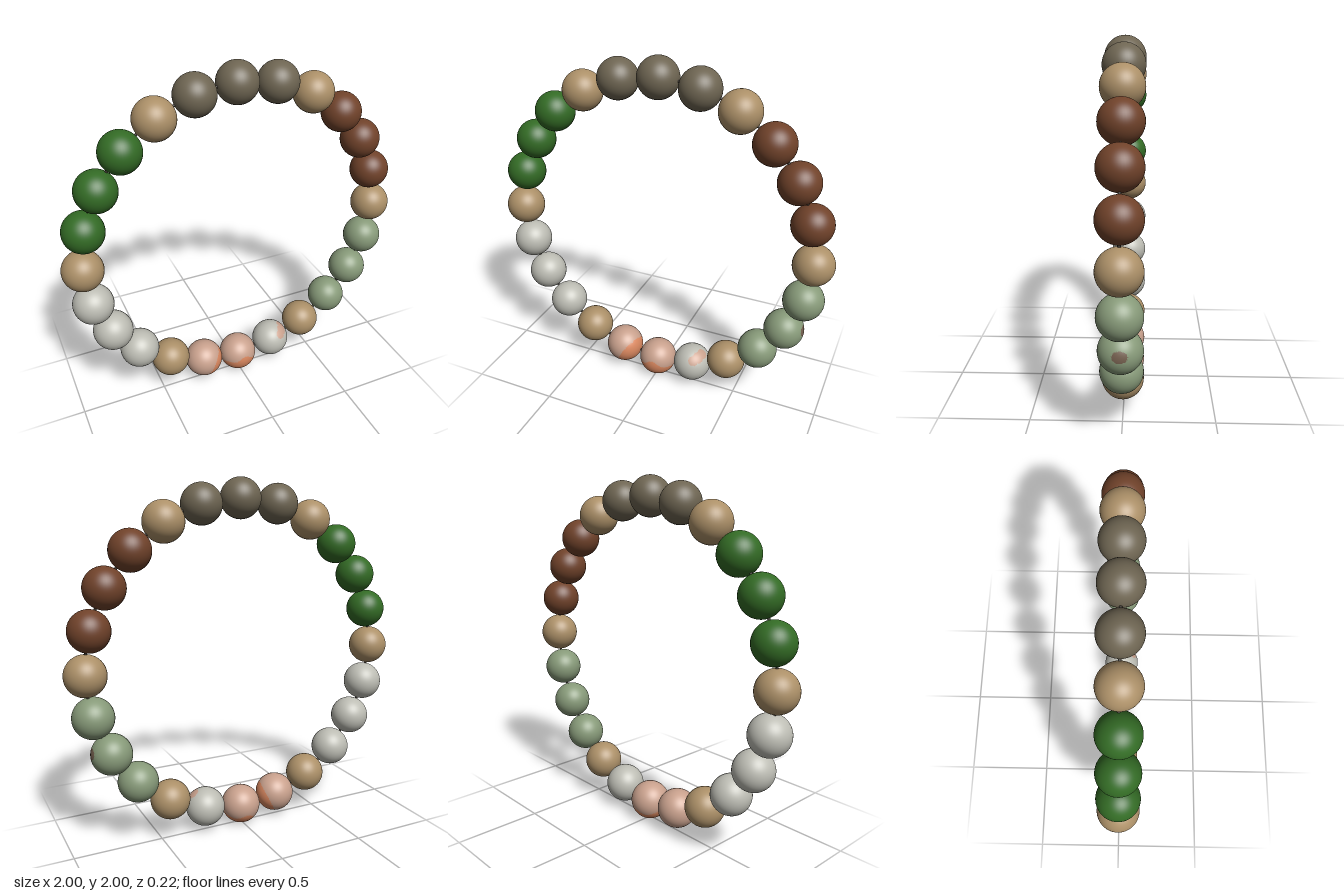
import * as THREE from 'three';

const RING = 0.8875, BEAD = 0.1125, COUNT = 24;

function paint(name, color) {
  const m = new THREE.MeshStandardMaterial({ color });
  m.name = name;
  return m;
}

// Sphere whose triangles are split in two groups: base, and patch where the rule holds
function patchedSphere(rule) {
  const g = new THREE.SphereGeometry(BEAD, 96, 64);
  const p = g.attributes.position, idx = g.index.array;
  const base = [], patch = [], n = new THREE.Vector3(), v = new THREE.Vector3();
  for (let i = 0; i < idx.length; i += 3) {
    n.set(0, 0, 0);
    for (let k = 0; k < 3; k++) n.add(v.fromBufferAttribute(p, idx[i + k]));
    n.normalize();
    (rule(n) ? patch : base).push(idx[i], idx[i + 1], idx[i + 2]);
  }
  g.setIndex(base.concat(patch));
  g.clearGroups();
  g.addGroup(0, base.length, 0);
  g.addGroup(base.length, patch.length, 1);
  return g;
}

// Round patch test around a direction
function cap(x, y, z, limit) {
  const d = new THREE.Vector3(x, y, z).normalize();
  return n => n.dot(d) > limit;
}

export function createModel() {
  const group = new THREE.Group();
  group.name = 'beadBracelet';
  const tan = paint('tan wood', 0xac9068);
  const brown = paint('red brown', 0x70422a);
  const olive = paint('grey brown', 0x6e6552);
  const green = paint('deep green', 0x336b25);
  const grey = paint('pale grey', 0xbdbdb4);
  const pink = paint('dusty pink', 0xc9a18d);
  const coral = paint('coral', 0xd9875f);
  const sage = paint('sage green', 0x879a79);
  const spot = paint('spot brown', 0x745f4e);
  const cordColor = paint('dark cord', 0x3a342c);

  // Beads counter-clockwise from +x: a tan spacer, then three of a colour
  const sets = [brown, olive, green, grey, pink, sage];

  // Stone beads with a mottled second colour
  const streak = [cap(0.32, 0.62, 0.7, 0.965), cap(0.5, 0.72, 0.45, 0.955), cap(0.62, 0.78, 0.1, 0.96)];
  const rightCap = cap(0.85, -0.45, 0.25, 0.45);
  const mottled = {
    17: [pink, coral, n => rightCap(n) && n.y < 0.62 + 0.1 * Math.sin(9 * n.z)],
    18: [pink, coral, n => n.y < -0.12 + 0.3 * n.z + 0.1 * Math.sin(6 * n.x + 1.2) - 0.25 * n.x * n.x],
    19: [grey, pink, n => streak.some(s => s(n))],
    22: [sage, spot, n => n.x > 0 && (n.z / 0.34) ** 2 + ((n.y - 0.16) / 0.26) ** 2 < 1],
  };

  const plain = new THREE.SphereGeometry(BEAD, 48, 32);
  for (let i = 0; i < COUNT; i++) {
    const a = (i / COUNT) * Math.PI * 2;
    const mix = mottled[i];
    const color = i % 4 === 0 ? tan : sets[Math.floor(i / 4)];
    const bead = mix
      ? new THREE.Mesh(patchedSphere(mix[2]), [mix[0], mix[1]])
      : new THREE.Mesh(plain, color);
    bead.name = mix ? 'mottledBead' : i % 4 === 0 ? 'spacerBead' : 'colourBead';
    bead.position.set(RING * Math.cos(a), 1 + RING * Math.sin(a), 0);
    group.add(bead);
  }

  // Cord through the beads
  const cord = new THREE.Mesh(new THREE.TorusGeometry(RING, 0.008, 8, 96), cordColor);
  cord.name = 'cord';
  cord.position.y = 1;
  group.add(cord);
  return group;
}
